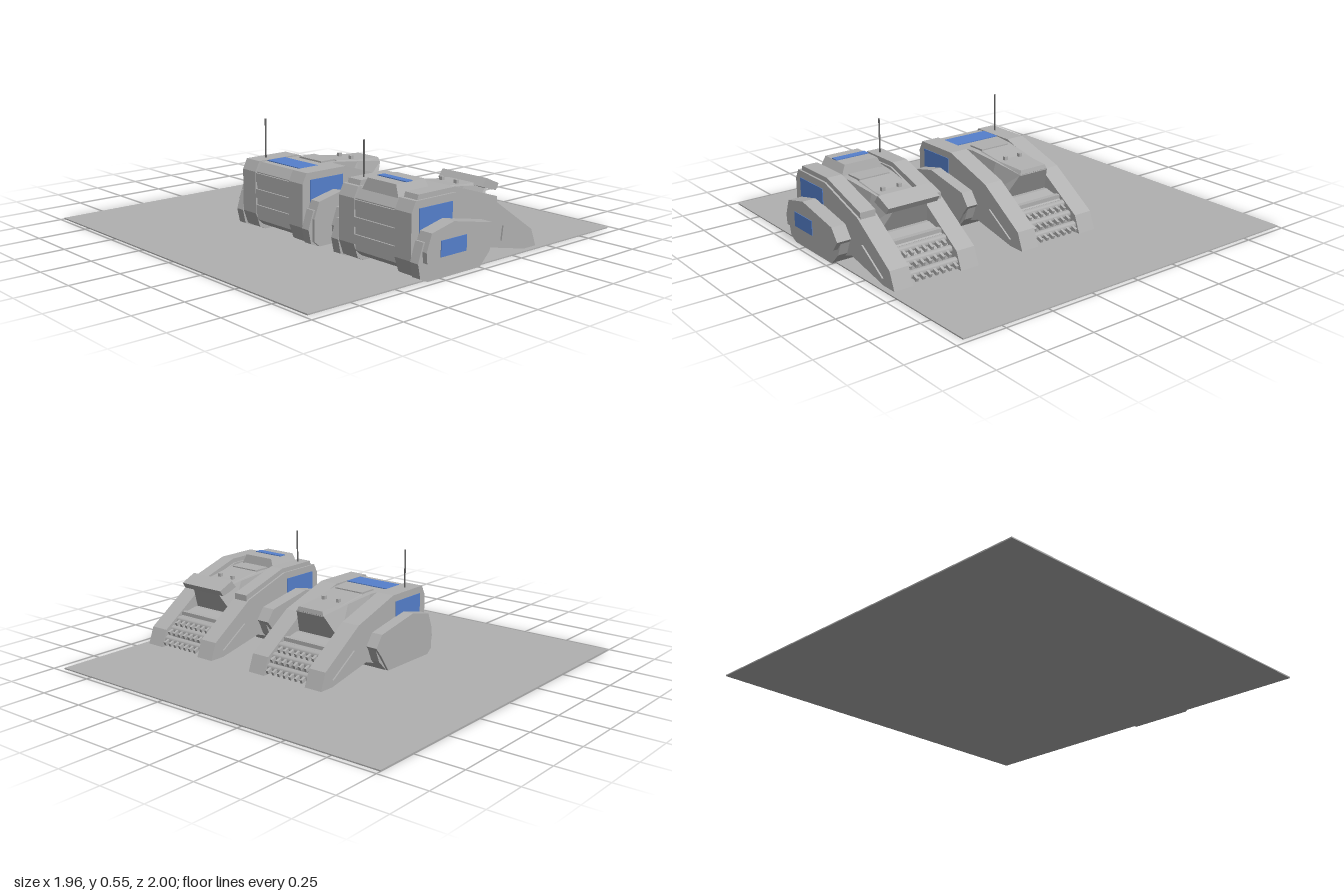
import * as THREE from 'three';

const grey = new THREE.MeshStandardMaterial({ color: 0xb0b0b0 });
grey.name = 'armourGrey';
const blue = new THREE.MeshStandardMaterial({ color: 0x5580cc });
blue.name = 'markingBlue';
const dark = new THREE.MeshStandardMaterial({ color: 0x6a6a6a });
dark.name = 'antennaGrey';

function add(parent, name, geo, mat = grey) {
  const m = new THREE.Mesh(geo, mat);
  m.name = name;
  parent.add(m);
  return m;
}

function box(parent, name, [x0, x1], [y0, y1], [z0, z1], mat = grey) {
  const m = add(parent, name, new THREE.BoxGeometry(x1 - x0, y1 - y0, z1 - z0), mat);
  m.position.set((x0 + x1) / 2, (y0 + y1) / 2, (z0 + z1) / 2);
  return m;
}

// Side profile (x, y) extruded from z0 to z1
function slab(parent, name, pts, z0, z1, mat = grey) {
  const shape = new THREE.Shape(pts.map(p => new THREE.Vector2(...p)));
  const geo = new THREE.ExtrudeGeometry(shape, { depth: z1 - z0, bevelEnabled: false });
  geo.translate(0, 0, z0);
  return add(parent, name, geo, mat);
}

// The same slab on both sides of the vehicle
function pair(parent, name, pts, z0, z1, mat = grey) {
  slab(parent, name, pts, z0, z1, mat);
  slab(parent, name, pts, -z1, -z0, mat);
}

const rect = (x0, x1, y0, y1) => [[x0, y0], [x1, y0], [x1, y1], [x0, y1]];

// Loft through trapezoids: [xTop, yTop, halfTop, xBottom, yBottom, halfBottom]
function loft(sections) {
  const rings = sections.map(([xt, yt, wt, xb, yb, wb]) =>
    [[xt, yt, wt], [xt, yt, -wt], [xb, yb, -wb], [xb, yb, wb]]);
  const pos = [];
  const quad = (a, b, c, d) => [a, b, c, a, c, d].forEach(p => pos.push(...p));
  for (let s = 0; s < rings.length - 1; s++) {
    const a = rings[s], b = rings[s + 1];
    for (let i = 0; i < 4; i++) {
      const j = (i + 1) % 4;
      quad(a[i], b[i], b[j], a[j]);
    }
  }
  const f = rings[0], l = rings[rings.length - 1];
  quad(f[0], f[1], f[2], f[3]);
  quad(l[3], l[2], l[1], l[0]);
  const g = new THREE.BufferGeometry();
  g.setAttribute('position', new THREE.Float32BufferAttribute(pos, 3));
  g.computeVertexNormals();
  return g;
}

const FRAME = [[-0.32, 0], [-0.36, 0.02], [-0.385, 0.09], [-0.385, 0.3], [-0.36, 0.35], [-0.115, 0.35],
  [0.16, 0.26], [0.41, 0.09], [0.445, 0], [0.36, 0.004], [0.1, 0.06], [0.04, 0.04], [0, 0]];
const TRACK = [[-0.33, 0], [-0.375, 0.02], [-0.39, 0.09], [-0.36, 0.18], [0.05, 0.18], [0.09, 0.13],
  [0.06, 0.06], [0, 0]];
const POD_TOP = [[0.06, 0.09], [0.1, 0.14], [0.055, 0.2], [-0.2, 0.25], [-0.335, 0.22], [-0.365, 0.14]];

function vehicle(name, upgraded) {
  const g = new THREE.Group();
  g.name = name;

  // Side frames reaching forward as arms, with raised panels
  pair(g, 'sideFrame', FRAME, 0.13, 0.23);
  pair(g, 'armPanel', [[0.2, 0.145], [0.36, 0.04], [0.32, 0.03], [0.19, 0.075]], 0.23, 0.238);
  pair(g, 'frameMarking', rect(-0.34, -0.135, 0.2, 0.315), 0.23, 0.233, blue);

  // Track pods and their armour
  pair(g, 'trackPod', TRACK, 0.23, 0.278);
  const armour = upgraded
    ? [[-0.36, 0.09], ...POD_TOP]
    : [[-0.33, 0.002], [0, 0.002], ...POD_TOP, [-0.365, 0.03]];
  pair(g, 'podArmour', armour, 0.23, upgraded ? 0.303 : 0.291);

  // Main hull with tapered overhanging nose
  add(g, 'hull', loft([
    [-0.375, 0.3, 0.13, -0.375, 0.06, 0.13],
    [-0.345, 0.345, 0.13, -0.34, 0.03, 0.13],
    [-0.2, 0.345, 0.13, -0.2, 0.03, 0.13],
    [-0.08, 0.345, 0.115, -0.1, 0.1, 0.13],
    [0.08, 0.325, 0.1, 0.05, 0.15, 0.13],
    [0.25, 0.3, 0.085, 0.18, 0.17, 0.13],
  ]));
  add(g, 'noseCap', loft([
    [-0.05, 0.347, 0.085, -0.05, 0.32, 0.1],
    [0.08, 0.328, 0.085, 0.08, 0.3, 0.1],
    [0.245, 0.32, 0.075, 0.25, 0.295, 0.085],
  ]));
  box(g, 'hatch', [-0.145, -0.05], [0.33, 0.353], [-0.083, 0.083]);
  for (const z of [-0.045, 0.045]) box(g, 'sensor', [0.078, 0.096], [0.32, 0.345], [z - 0.009, z + 0.009]);
  box(g, 'roofMarking', [-0.31, -0.2], [0.343, 0.349], [-0.13, 0.13], blue);

  // Rear bands
  for (const y of [0.09, 0.17, 0.25]) box(g, 'rearBand', [-0.383, -0.36], [y, y + 0.045], [-0.13, 0.13]);

  // Front deck between the arms
  slab(g, 'frontDeck', [[-0.3, 0.03], [-0.3, 0.15], [0.2, 0.17], [0.29, 0.15], [0.37, 0.08], [0.37, 0.03]], -0.13, 0.13);
  box(g, 'crossBar', [0.27, 0.295], [0.135, 0.165], [-0.13, 0.13]);

  // Digging rollers with teeth
  for (const [row, x, y] of [[0, 0.315, 0.125], [1, 0.36, 0.085], [2, 0.4, 0.04]]) {
    const roller = add(g, 'roller', new THREE.CylinderGeometry(0.02, 0.02, 0.26, 8));
    roller.rotation.x = Math.PI / 2;
    roller.position.set(x, y, 0);
    for (let i = 0; i < 7; i++) {
      const z = -0.108 + i * 0.036 + (row === 1 ? 0.008 : 0);
      const tooth = add(g, 'tooth', new THREE.BoxGeometry(0.05, 0.018, 0.014));
      tooth.position.set(x + 0.02, y - 0.005, z);
      tooth.rotation.z = -0.35;
    }
  }

  // Antenna
  const top = upgraded ? 0.37 : 0.35;
  const antenna = add(g, 'antenna', new THREE.CylinderGeometry(0.004, 0.004, 0.545 - top, 8), dark);
  antenna.position.set(-0.28, (0.545 + top) / 2, -0.18);

  if (upgraded) {
    // Extra armour: frame caps, roof block, front visor, marked pods
    pair(g, 'frameCap', [[-0.345, 0.34], [-0.335, 0.373], [-0.11, 0.373], [0.17, 0.285], [0.17, 0.25], [-0.115, 0.34]], 0.14, 0.22);
    add(g, 'roofBlock', loft([
      [-0.34, 0.395, 0.09, -0.35, 0.34, 0.115],
      [-0.165, 0.395, 0.09, -0.155, 0.34, 0.115],
    ]));
    box(g, 'roofBlockMarking', [-0.28, -0.24], [0.392, 0.399], [-0.09, 0.09], blue);
    slab(g, 'visor', [[0.16, 0.315], [0.19, 0.352], [0.275, 0.315], [0.255, 0.285], [0.2, 0.3]], -0.138, 0.138);
    pair(g, 'podMarking', rect(-0.28, -0.12, 0.105, 0.178), 0.303, 0.306, blue);
  }
  return g;
}

export function createModel() {
  const model = new THREE.Group();
  model.name = 'vehicleDisplay';
  box(model, 'groundPlate', [-0.98, 0.975], [0, 0.006], [-1, 0.95]);
  const plain = vehicle('plainVehicle', false);
  plain.position.set(0, 0.002, -0.025);
  const upgraded = vehicle('upgradedVehicle', true);
  upgraded.position.set(0, 0.002, 0.692);
  model.add(plain, upgraded);
  return model;
}
